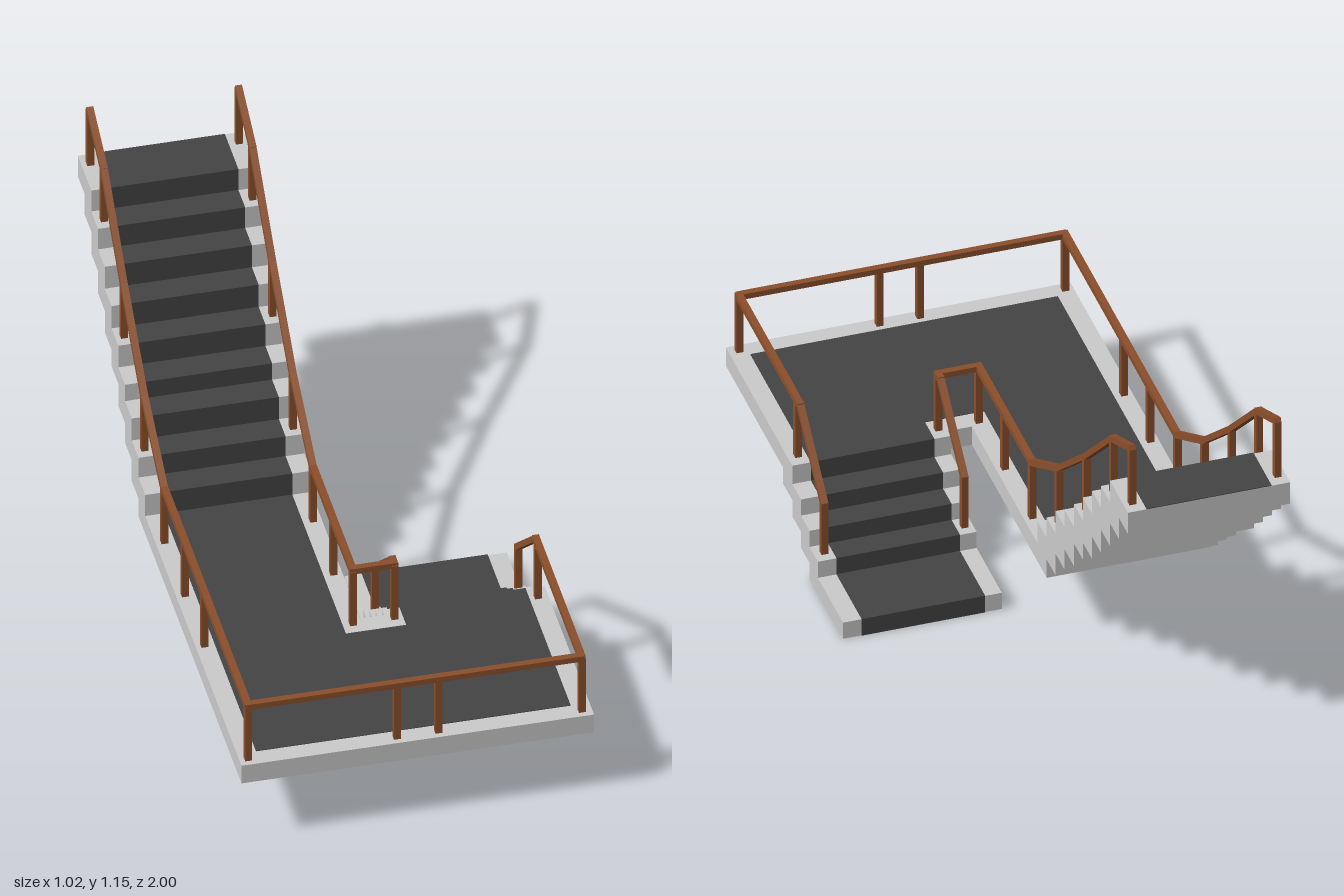
import * as THREE from 'three';

const concrete = new THREE.MeshStandardMaterial({ color: 0xcccccc });
const carpet = new THREE.MeshStandardMaterial({ color: 0x444444 });
const wood = new THREE.MeshStandardMaterial({ color: 0x8b4f2b });
const SKIN = 0.002; // carpet thickness
const BAR = 0.02; // handrail and post thickness

export function createModel() {
  const model = new THREE.Group();

  const add = (parent, name, geometry, material) => {
    const mesh = new THREE.Mesh(geometry, material);
    mesh.name = name;
    parent.add(mesh);
    return mesh;
  };
  const group = (name) => {
    const g = new THREE.Group();
    g.name = name;
    model.add(g);
    return g;
  };
  // Box given by its limits on each axis
  const box = (parent, name, [x0, x1], [y0, y1], [z0, z1], material) => {
    const mesh = add(parent, name, new THREE.BoxGeometry(x1 - x0, y1 - y0, z1 - z0), material);
    mesh.position.set((x0 + x1) / 2, (y0 + y1) / 2, (z0 + z1) / 2);
  };
  // Horizontal slab from an outline of [x, z] corners
  const slab = (parent, name, outline, top, depth, material) => {
    const shape = new THREE.Shape(outline.map(([x, z]) => new THREE.Vector2(x, z)));
    const mesh = add(parent, name, new THREE.ExtrudeGeometry(shape, { depth, bevelEnabled: false }), material);
    mesh.rotation.x = Math.PI / 2;
    mesh.position.y = top;
  };

  // Landing joining the two flights
  const floor = 0.285;
  const landing = group('landing');
  slab(landing, 'landingSlab', [[-0.51, 1], [0.51, 1], [0.51, 0.395], [0.04, 0.395],
    [0.04, 0.42], [-0.03, 0.42], [-0.03, -0.26], [-0.51, -0.26]], floor, 0.063, concrete);
  slab(landing, 'landingCarpet', [[-0.455, 0.945], [0.455, 0.945], [0.455, 0.395], [0.09, 0.395],
    [0.09, 0.48], [-0.085, 0.48], [-0.085, -0.178], [-0.455, -0.178]], floor + SKIN, SKIN, carpet);
  box(landing, 'landingEdgeCarpet', [0.09, 0.455], [0.222, floor + SKIN], [0.395 - SKIN, 0.395], carpet);

  // Upper flight: each step is two treads deep and rests on the one below
  const upper = group('upperFlight');
  const levels = [floor, 0.36, 0.43, 0.508, 0.566, 0.643, 0.722, 0.8, 0.873, 0.947];
  const run = 0.0823;
  for (let i = 0; i < 9; i++) {
    const front = -0.177 - run * i;
    const back = Math.max(front - 2 * run, -1);
    const y = [levels[i], levels[i + 1]];
    const treadEnd = i === 8 ? -1 : front - run;
    box(upper, 'upperStep', [-0.51, -0.03], y, [back, front], concrete);
    box(upper, 'upperRiserCarpet', [-0.455, -0.085], [y[0], y[1] + SKIN], [front, front + SKIN], carpet);
    box(upper, 'upperTreadCarpet', [-0.455, -0.085], [y[1], y[1] + SKIN], [treadEnd, front], carpet);
  }

  // Lower flight, descending towards the back and ending in a long bottom step
  const lower = group('lowerFlight');
  const nose = [0.395, 0.316, 0.238, 0.162, -0.067];
  const starts = [0.48, 0.395, 0.316, 0.24];
  for (let i = 0; i < 4; i++) {
    const top = 0.222 - 0.0555 * i;
    const bottom = top - 0.0555;
    const end = nose[i + 1];
    box(lower, 'lowerStep', [0.04, 0.51], [bottom, top], [end, starts[i]], concrete);
    box(lower, 'lowerTreadCarpet', [0.09, 0.455], [top, top + SKIN], [end, nose[i]], carpet);
    box(lower, 'lowerRiserCarpet', [0.09, 0.455], [bottom, top + SKIN], [end - SKIN, end], carpet);
  }

  // Railings
  const railing = group('railing');
  const post = (x, z, y0, y1) =>
    box(railing, 'post', [x - BAR / 2, x + BAR / 2], [y0, y1], [z - BAR / 2, z + BAR / 2], wood);
  const handrail = (points) => {
    for (let i = 1; i < points.length; i++) {
      const a = new THREE.Vector3(...points[i - 1]);
      const b = new THREE.Vector3(...points[i]);
      const bar = add(railing, 'handrail', new THREE.BoxGeometry(BAR, BAR * 0.9, a.distanceTo(b) + BAR * 0.7), wood);
      bar.position.copy(a).add(b).multiplyScalar(0.5);
      bar.lookAt(b);
    }
  };
  const railY = 0.475;
  const left = -0.485, inner = -0.055, lowInner = 0.065, right = 0.48, frontZ = 0.973;

  // Rails and posts climbing both sides of the upper flight
  const climb = [[-0.05, railY, floor], [-0.295, 0.62, 0.43], [-0.545, 0.83, 0.643],
    [-0.79, 1.058, 0.873], [-0.957, 1.137, 0.947]];
  for (const x of [left, inner]) {
    const startZ = x === left ? frontZ : 0.438;
    handrail([[x, railY, startZ], ...climb.map(([z, y]) => [x, y, z])]);
    for (const [z, y, base] of climb) post(x, z, base, y);
    for (const z of [0.438, 0.2]) post(x, z, floor, railY);
  }

  // Rails dropping along both sides of the lower flight
  for (const x of [lowInner, right]) {
    handrail([[x, railY, x === right ? frontZ : 0.438], [x, railY, 0.415], [x, 0.285, 0.2]]);
    post(x, 0.438, floor, railY);
    post(x, 0.2, 0.11, 0.285);
  }

  // Cross rails at the front edge and around the stairwell
  handrail([[left, railY, frontZ], [right, railY, frontZ]]);
  handrail([[inner, railY, 0.435], [lowInner, railY, 0.435]]);
  for (const x of [left, inner, lowInner, right]) post(x, frontZ, floor, railY);

  return model;
}
